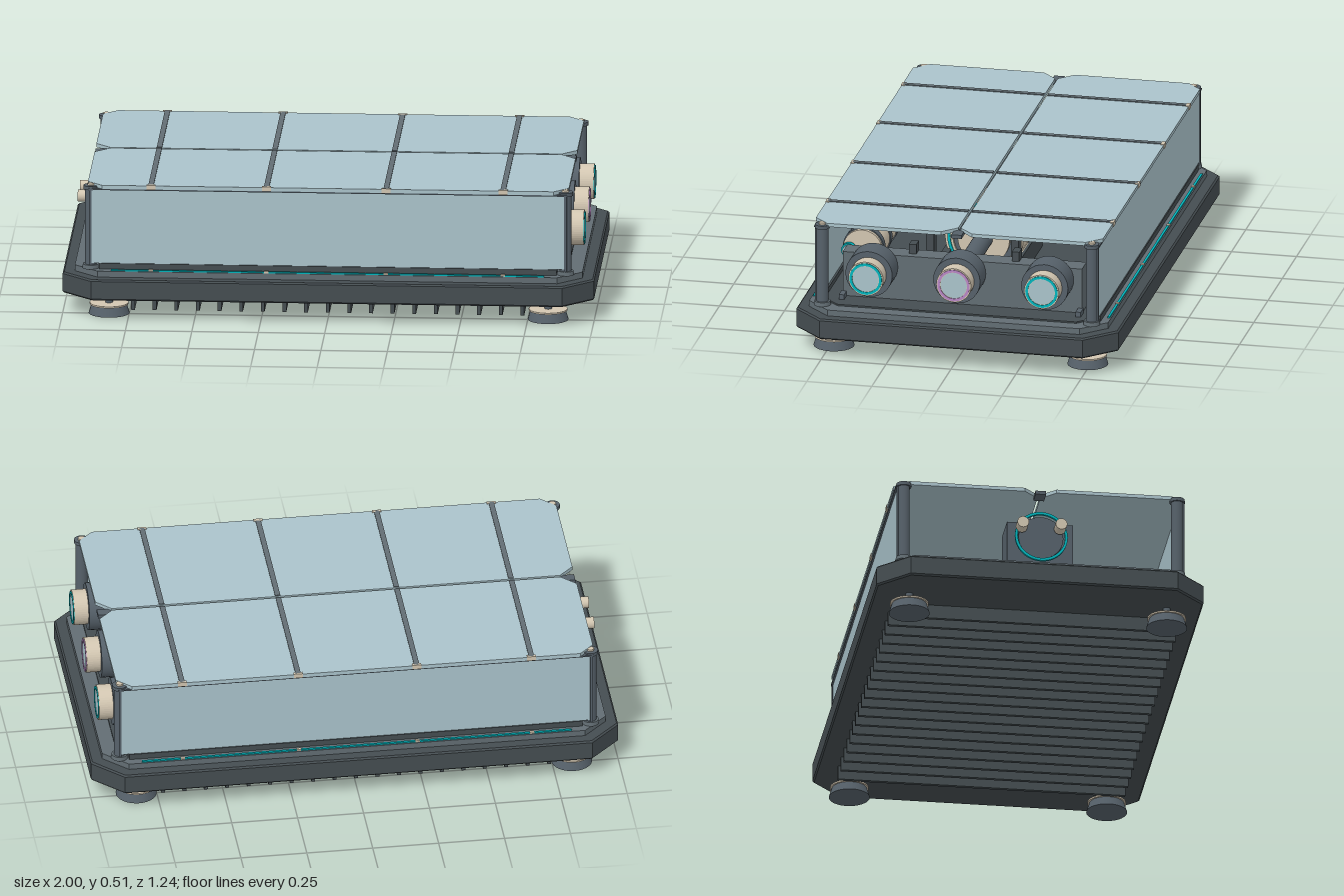
import * as THREE from 'three';

const mat = (name, color, side = THREE.FrontSide) => {
  const m = new THREE.MeshStandardMaterial({ color, side });
  m.name = name;
  return m;
};

export function createModel() {
  const dark = mat('dark graphite', 0x454d51);
  const gray = mat('slate gray', 0x626d73);
  const steel = mat('post steel', 0x56616a);
  const glass = mat('pale glass', 0xaac3cb);
  const tan = mat('warm ivory', 0xd2c6b1);
  const teal = mat('teal glow', 0x00b4bc);
  const violet = mat('violet glow', 0xb886c4);
  const root = new THREE.Group();
  root.name = 'glassMachineCase';

  const add = (name, geo, m, x = 0, y = 0, z = 0, parent = root) => {
    const mesh = new THREE.Mesh(geo, m);
    mesh.name = name;
    mesh.position.set(x, y, z);
    parent.add(mesh);
    return mesh;
  };
  const box = (name, m, w, h, d, x, y, z, p) => add(name, new THREE.BoxGeometry(w, h, d), m, x, y, z, p);
  const cyl = (name, m, r0, r1, h, x, y, z, p) => add(name, new THREE.CylinderGeometry(r1, r0, h, 32), m, x, y, z, p);
  // cylinder and tube section lying along x
  const cylX = (name, m, r, len, x, y, z, p) => {
    const c = cyl(name, m, r, r, len, x, y, z, p);
    c.rotation.z = Math.PI / 2;
    return c;
  };
  const ringX = (name, m, rOut, rIn, len, x, y, z, p) => {
    const s = new THREE.Shape().absarc(0, 0, rOut, 0, Math.PI * 2);
    s.holes.push(new THREE.Path().absarc(0, 0, rIn, 0, Math.PI * 2, true));
    const g = new THREE.ExtrudeGeometry(s, { depth: len, bevelEnabled: false, curveSegments: 24 });
    g.translate(0, 0, -len / 2).rotateY(Math.PI / 2);
    return add(name, g, m, x, y, z, p);
  };
  // horizontal plate with four cut corners
  const plate = (name, m, x0, x1, z0, z1, cut, y0, h, bevel = 0) => {
    const b = bevel;
    const [l, r, n, f] = [x0 + b, x1 - b, z0 + b, z1 - b];
    const pts = [[l + cut, n], [r - cut, n], [r, n + cut], [r, f - cut],
      [r - cut, f], [l + cut, f], [l, f - cut], [l, n + cut]];
    const s = new THREE.Shape(pts.map(([x, z]) => new THREE.Vector2(x, -z)));
    const g = new THREE.ExtrudeGeometry(s, {
      depth: h - 2 * b, bevelEnabled: b > 0, bevelSize: b, bevelThickness: b, bevelSegments: 1 });
    g.rotateX(-Math.PI / 2);
    return add(name, g, m, 0, y0 + b, 0);
  };

  // base slab and raised deck
  plate('baseSlab', dark, -1, 1, -0.62, 0.62, 0.11, 0.08, 0.08, 0.006);
  plate('deck', gray, -0.955, 0.955, -0.575, 0.575, 0.09, 0.158, 0.025);
  plate('deckInset', dark, -0.9, 0.9, -0.52, 0.52, 0.06, 0.18, 0.009);

  // cooling fins under the slab
  for (let i = 0; i < 19; i++) {
    box('coolingFin', dark, 0.014, 0.056, 1.09, -0.733 + i * 0.0814, 0.055, 0);
  }

  for (const sx of [-1, 1]) {
    for (const sz of [-1, 1]) {
      // feet
      const foot = new THREE.Group();
      foot.name = 'foot';
      foot.position.set(sx * 0.826, 0, sz * 0.488);
      root.add(foot);
      cyl('footPad', steel, 0.077, 0.066, 0.036, 0, 0.018, 0, foot);
      cyl('footWasher', tan, 0.073, 0.073, 0.006, 0, 0.038, 0, foot);
      cyl('footStem', steel, 0.014, 0.014, 0.05, 0, 0.06, 0, foot);
      // corner posts
      const post = new THREE.Group();
      post.name = 'cornerPost';
      post.position.set(sx * 0.893, 0, sz * 0.518);
      root.add(post);
      cyl('postShaft', steel, 0.022, 0.022, 0.31, 0, 0.34, 0, post);
      cyl('postFoot', gray, 0.032, 0.03, 0.016, 0, 0.19, 0, post);
      cyl('postCap', steel, 0.028, 0.028, 0.014, 0, 0.496, 0, post);
      cyl('postBolt', tan, 0.013, 0.013, 0.008, 0, 0.506, 0, post);
    }
    // centre hinge under the lid notch
    box('centreHinge', steel, 0.06, 0.014, 0.04, sx * 0.875, 0.495, 0);
  }

  // long walls, lid halves, ribs and trim, mirrored front to back
  const ribs = [-0.665, -0.23, 0.22, 0.66];
  for (const s of [-1, 1]) {
    box('sidePanel', glass, 1.79, 0.29, 0.012, 0, 0.351, s * 0.535);
    box('panelRail', dark, 1.72, 0.022, 0.024, 0, 0.195, s * 0.533);
    box('panelTopRail', steel, 1.8, 0.006, 0.016, 0, 0.494, s * 0.54);
    for (const sx of [-1, 1]) box('panelEdge', steel, 0.01, 0.3, 0.02, sx * 0.894, 0.345, s * 0.535);
    const [z0, z1] = s > 0 ? [0.005, 0.552] : [-0.552, -0.005];
    plate('lidPanel', glass, -0.905, 0.905, z0, z1, 0.055, 0.497, 0.014);
    box('lightStrip', teal, 1.63, 0.006, 0.009, 0, 0.185, s * 0.566);
    for (const x of ribs) {
      box('lidRib', gray, 0.02, 0.006, 0.54, x, 0.511, s * 0.278);
      box('lidClip', tan, 0.034, 0.018, 0.014, x, 0.505, s * 0.547);
      box('stripClip', tan, 0.016, 0.007, 0.012, x, 0.187, s * 0.566);
    }
  }

  // bulkhead carrying three ports
  box('portBulkhead', gray, 0.08, 0.175, 0.92, 0.76, 0.277, 0);
  for (const s of [-1, 1]) {
    box('bulkheadBracket', steel, 0.05, 0.02, 0.02, 0.82, 0.198, s * 0.455);
    box('bulkheadTab', dark, 0.05, 0.04, 0.028, 0.745, 0.382, s * 0.198);
  }
  for (const z of [-0.338, 0, 0.338]) {
    const port = new THREE.Group();
    port.name = 'port';
    port.position.set(0, 0.318, z);
    root.add(port);
    cylX('portFlange', steel, 0.09, 0.1, 0.85, 0, 0, port);
    ringX('portCollar', tan, 0.067, 0.05, 0.056, 0.926, 0, 0, port);
    ringX('portGlow', z === 0 ? violet : teal, 0.062, 0.052, 0.006, 0.954, 0, 0, port);
    cylX('portLens', glass, 0.052, 0.05, 0.929, 0, 0, port);
  }

  // rotor with bearing frame
  const rotor = new THREE.Group();
  rotor.name = 'rotor';
  rotor.position.set(0.35, 0.32, 0);
  root.add(rotor);
  ringX('rotorRim', tan, 0.15, 0.12, 0.14, 0, 0, 0, rotor);
  ringX('rotorGlow', teal, 0.14, 0.129, 0.008, 0.072, 0, 0, rotor);
  cylX('rotorCore', steel, 0.12, 0.12, 0, 0, 0, rotor);
  cylX('rotorHub', tan, 0.1, 0.16, 0, 0, 0, rotor);
  cylX('rotorShaft', steel, 0.035, 1.1, -0.15, 0, 0, rotor);
  for (let i = 0; i < 16; i++) {
    const a = (i / 16) * Math.PI * 2;
    const tooth = box('rotorTooth', tan, 0.1, 0.02, 0.014, 0, Math.cos(a) * 0.151, Math.sin(a) * 0.151, rotor);
    tooth.rotation.x = a;
  }
  box('bearingTop', dark, 0.05, 0.025, 0.36, 0.6, 0.432, 0);
  for (const s of [-1, 1]) {
    box('bearingLeg', dark, 0.05, 0.24, 0.03, 0.6, 0.305, s * 0.163);
    box('rotorCradle', dark, 0.5, 0.08, 0.03, 0.35, 0.228, s * 0.14);
  }

  // side canister beside the bulkhead
  cylX('canister', tan, 0.075, 0.3, 0.45, 0.307, 0.428);
  for (const x of [0.33, 0.45, 0.57]) ringX('canisterBand', steel, 0.079, 0.07, 0.03, x, 0.307, 0.428);
  cylX('canisterNozzle', glass, 0.022, 0.04, 0.62, 0.307, 0.476);
  ringX('canisterGlow', teal, 0.028, 0.021, 0.02, 0.62, 0.307, 0.476);

  // control box with ring and two knobs on the left-hand end
  box('controlBox', steel, 0.14, 0.19, 0.25, -0.81, 0.283, 0);
  ringX('controlRing', teal, 0.1, 0.09, 0.01, -0.916, 0.307, 0);
  cylX('controlBoss', steel, 0.085, 0.03, -0.892, 0.307, 0);
  for (const z of [-0.075, 0.07]) {
    cylX('knobStem', steel, 0.014, 0.05, -0.9, 0.342, z);
    cylX('knob', tan, 0.022, 0.05, -0.942, 0.342, z);
  }
  return root;
}
